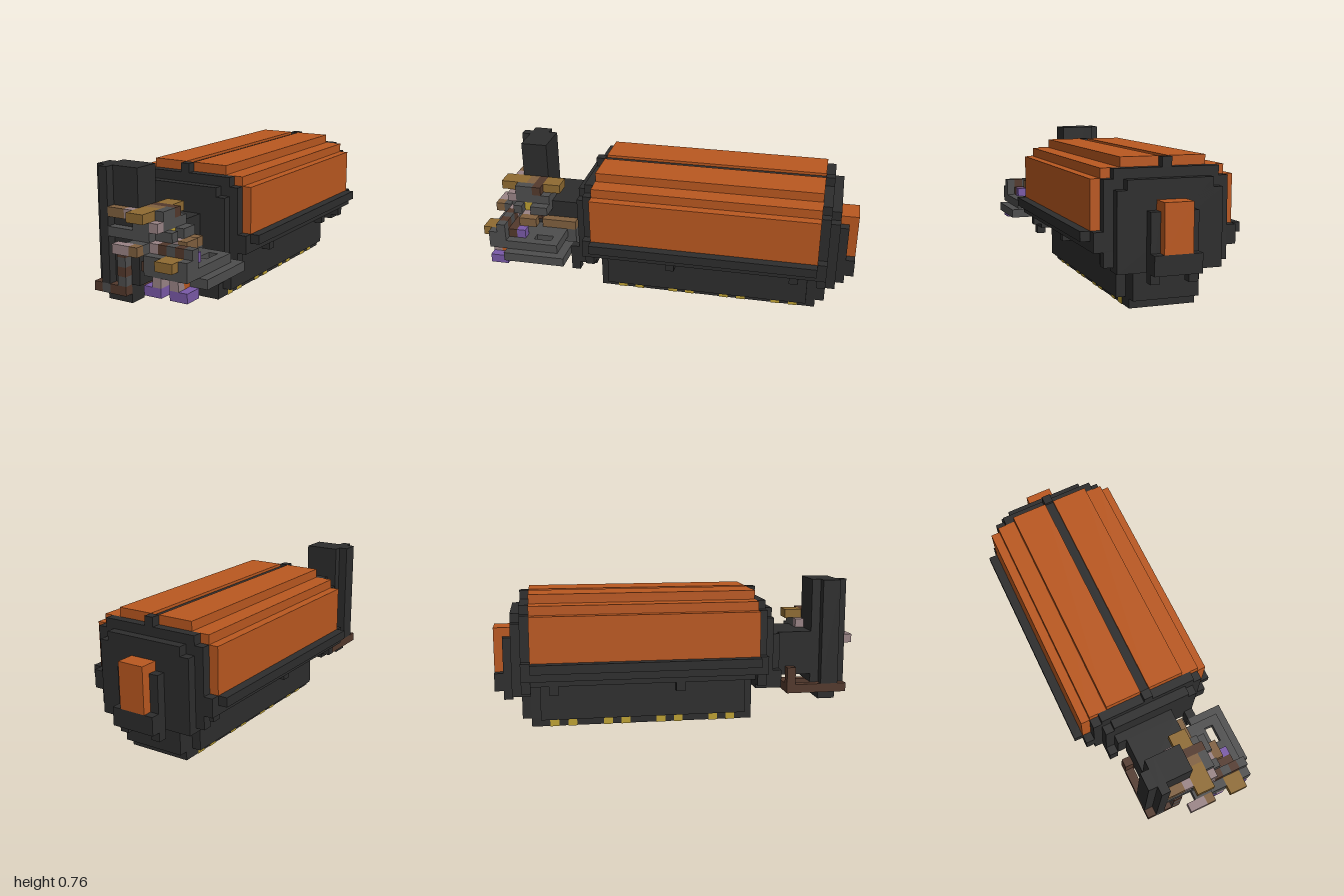
import * as THREE from 'three';

// One block of the grid; the model is 17 x 16 x 42 blocks
const U = 2 / 42;
const mat = (name, color) => {
  const m = new THREE.MeshStandardMaterial({ color });
  m.name = name;
  return m;
};

export function createModel() {
  const root = new THREE.Group();
  root.name = 'blockMachine';
  const dark = mat('charcoal', 0x2d2d2d), orange = mat('orange', 0xba5820), yellow = mat('yellow', 0xbda033),
    grey = mat('grey', 0x4e4e4e), tan = mat('tan', 0x80603f), gold = mat('gold', 0x8f6b32),
    pink = mat('dusty pink', 0x9a8486), brown = mat('brown', 0x53392c), purple = mat('purple', 0x7a5aa8);

  let part = root;
  const group = (name) => {
    part = new THREE.Group();
    part.name = name;
    root.add(part);
  };
  // Box between block coordinates: x from the right side, y from the ground, z from the back
  const box = (name, m, x0, x1, y0, y1, z0, z1) => {
    const g = new THREE.BoxGeometry((x1 - x0) * U, (y1 - y0) * U, (z1 - z0) * U);
    const mesh = new THREE.Mesh(g, m);
    mesh.name = name;
    mesh.position.set(((x0 + x1) / 2 - 8.5) * U, ((y0 + y1) / 2) * U, ((z0 + z1) / 2 - 21) * U);
    part.add(mesh);
  };
  const pair = (name, m, x0, x1, ...r) => {
    box(name, m, x0, x1, ...r);
    box(name, m, 17 - x1, 17 - x0, ...r);
  };

  // Orange stepped covers with a dark seam between them
  group('covers');
  pair('coverSide', orange, 9, 16, 8, 13, 4, 29);
  pair('coverShoulder', orange, 9, 15, 13, 14, 4, 29);
  pair('coverTop', orange, 9, 13, 14, 15, 4, 29);
  box('seam', dark, 8, 9, 8, 14.7, 4, 29);

  // Dark hull, narrowing downwards
  group('hull');
  box('rail', dark, 0, 17, 7, 8, 4, 29);
  box('rimUpper', dark, 1, 16, 6, 8, 3, 30);
  box('rimLower', dark, 3, 14, 5, 6, 2, 31);
  box('belly', dark, 5, 12, 1, 5, 4, 29);
  box('bellySides', dark, 4, 13, 1, 5, 5, 28);
  box('keel', dark, 5, 12, 0.04, 1, 4, 29);
  box('rearBelly', dark, 5, 12, 1, 5, 3, 4);
  for (const z of [6, 20]) pair('lug', dark, 13, 14, 4, 5, z, z + 1);

  // Stepped end plates, same at both ends
  group('endPlates');
  for (const [a, b] of [[29, 30], [3, 2]]) {
    const inner = [a, a + 1], outer = [b, b + 1];
    box('plateWide', dark, 2, 15, 4.5, 13, ...inner);
    box('plateUpper', dark, 3, 14, 4, 14, ...inner);
    box('plateCrest', dark, 8, 9, 14, 15, ...inner);
    box('capWide', dark, 3, 14, 4, 12, ...outer);
    box('capTall', dark, 4, 13, 4, 13, ...outer);
  }
  pair('frontLug', dark, 13, 14, 4, 6, 31, 32);
  box('frontDrop', dark, 13, 14, 3, 4, 31, 32);

  // Rear hatch
  group('rearHatch');
  box('hatch', orange, 7, 10, 6, 11, 0, 2);
  pair('hatchPost', dark, 10, 11, 3, 10, 1, 2);
  box('hatchSill', dark, 6, 11, 4, 6, 0, 2);

  // Yellow studs and orange marks under the keel
  group('underside');
  for (const z of [6, 12, 18, 24]) {
    pair('stud', yellow, 11, 12.04, 0, 1, z, z + 1);
    pair('stud', yellow, 11, 12.04, 0, 1, z + 2, z + 3);
    box('mark', orange, 7, 9, 0, 0.1, z, z + 1);
    box('mark', orange, 7, 10, 0, 0.1, z + 1, z + 2);
    box('mark', orange, 8, 10, 0, 0.1, z + 2, z + 3);
  }

  // Neck and upright chimney
  group('chimney');
  box('neckRoot', dark, 4, 11, 6, 10, 31, 32);
  box('neck', dark, 5, 11, 5, 10, 32, 37);
  box('stackRight', dark, 4, 5, 4, 16, 37, 39);
  box('stackFront', dark, 5, 6, 4, 16, 36, 40);
  box('stackLeft', dark, 6, 9, 4, 16, 36, 39);
  box('stackFoot', dark, 5, 8, 2, 4, 37, 39);

  // Open foot frame beneath the chimney
  group('footFrame');
  box('footSide', brown, 4, 5, 3, 4, 33, 40);
  box('footBack', brown, 5, 8, 3, 4, 33, 34);
  box('footInner', brown, 7, 8, 3, 4, 34, 37);
  box('footBlock', grey, 5, 6, 3, 4, 39, 40);
  box('footFront', brown, 6, 8, 3, 4, 39, 40);
  [grey, brown, grey, brown].forEach((m, i) => box('footPost', m, 7, 8, 4 + i, 5 + i, 39, 40));
  box('backPost', brown, 4, 5, 4, 6, 33, 34);

  // Grey side platform with an opening
  group('platform');
  box('platformEdge', grey, 16, 17, 5, 6, 32, 39);
  box('platformBack', grey, 13, 16, 5, 6, 32, 33);
  box('platformFront', grey, 13, 16, 5, 6, 38, 39);
  box('deckOuter', grey, 15, 16, 6, 7, 33, 39);
  box('deckBack', grey, 12, 15, 6, 7, 33, 34);
  box('deckInner', grey, 12, 14, 6, 7, 34, 39);
  box('deckFront', grey, 14, 15, 6, 7, 36, 39);
  box('deckStrip', tan, 11, 12, 7, 8, 32, 36);
  box('deckSupport', grey, 11, 12, 5, 7, 32, 38);

  // Upper ornament beside the chimney
  group('upperOrnament');
  box('browRight', tan, 6, 8, 11, 12, 39, 40);
  box('browMiddle', pink, 8, 9, 11, 12, 39, 40);
  box('browFront', gold, 9, 11, 11, 12, 38, 41);
  box('browBack', gold, 9, 11, 11, 12, 34, 36);
  box('browSide', grey, 11, 12, 10, 12, 37, 39);
  box('crown', brown, 9, 11, 11, 12, 36, 37);
  box('crown', tan, 9, 11, 11, 12, 37, 38);
  box('head', grey, 9, 12, 9, 11, 35, 37);
  box('face', grey, 9, 11, 9, 11, 37, 40);
  pairCheeks();
  box('band', grey, 6, 9, 9, 10, 39, 40);
  box('bandLeft', grey, 11, 13, 9, 10, 38, 39);
  box('eye', yellow, 11, 12, 9, 10, 37, 38);
  box('bandBack', grey, 12, 13, 9, 10, 35, 37);

  // Lower ornament reaching forward
  group('lowerOrnament');
  box('jawTip', pink, 8, 10, 8, 9, 41, 42);
  box('jawSide', tan, 10, 11, 8, 9, 41, 42);
  box('jaw', grey, 9, 11, 8, 9, 37, 41);
  [pink, brown, grey, brown, grey].forEach((m, i) => box('ridge', m, 11 + i, 12 + i, 8, 9, 39, 40));
  [brown, pink, tan].forEach((m, i) => box('ridgeBack', m, 11 + i, 12 + i, 8, 9, 36 + (i % 2), 38));
  box('snout', gold, 13, 15, 7, 8, 40, 42);
  box('snoutBase', grey, 11, 13, 6, 8, 38, 41);
  box('cheek', grey, 15, 16, 6, 8, 39, 41);
  box('throat', grey, 13, 15, 6, 7, 39, 41);
  box('gem', purple, 14, 15, 7, 8, 37, 38);
  box('core', brown, 12, 15, 7, 8, 38, 40);
  box('chin', brown, 10, 11, 6, 7, 39, 40);
  box('claw', pink, 12, 13, 5, 6, 39, 41);
  box('claw', pink, 14, 15, 5, 6, 40, 41);
  box('ember', orange, 14, 15, 5, 6, 39, 40);
  box('toes', purple, 11, 13, 4, 5, 39, 41);
  box('toes', purple, 14, 16, 4, 5, 39, 41);

  function pairCheeks() {
    box('cheekFront', pink, 11, 12, 10, 11, 39, 40);
    box('cheekBack', pink, 8, 9, 10, 11, 35, 36);
    box('temple', brown, 11, 12, 11, 12, 36, 37);
  }
  return root;
}
